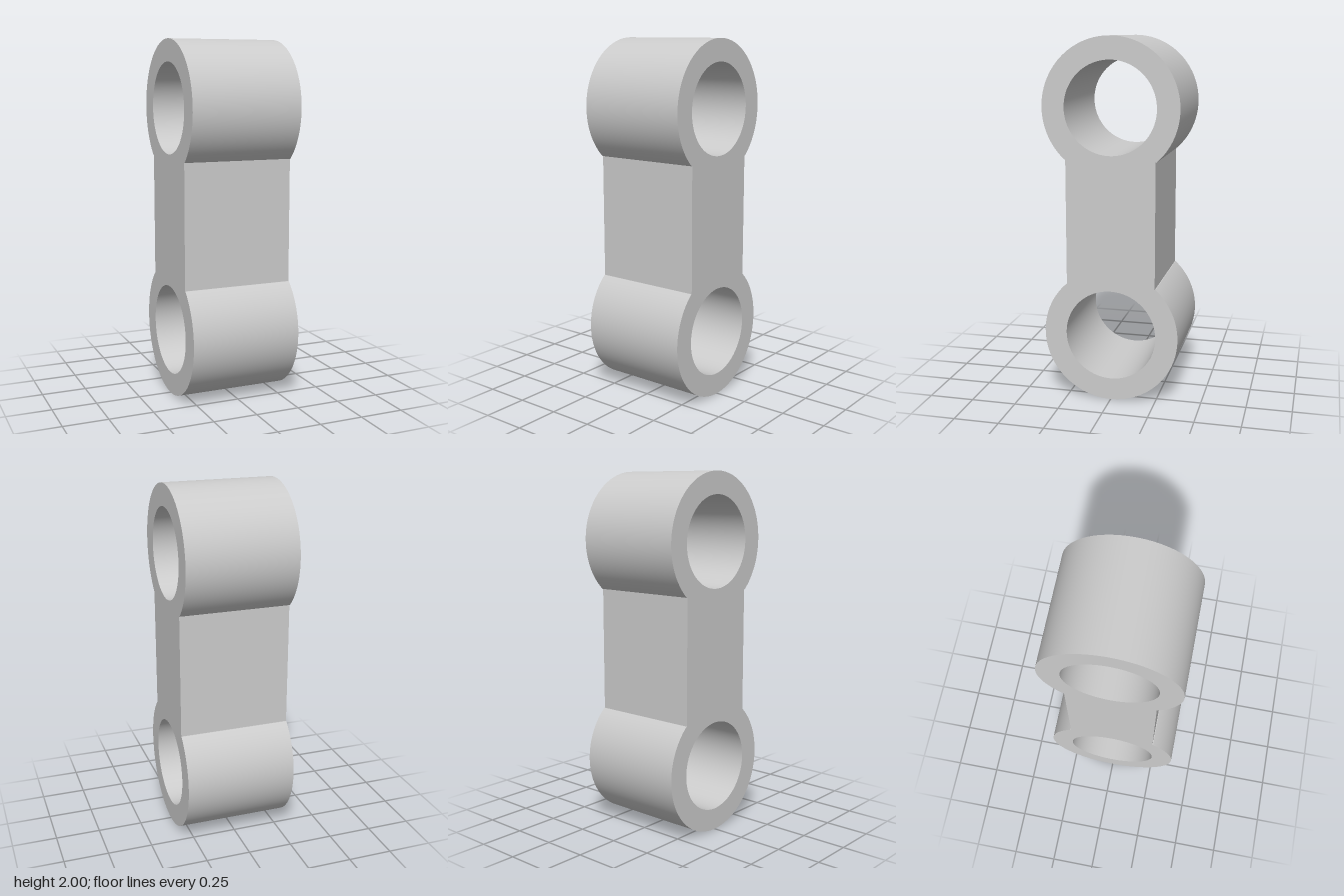
import * as THREE from 'three';
import { toCreasedNormals } from 'three/addons/utils/BufferGeometryUtils.js';

const WIDTH = 0.625;       // along x
const RING_R = 0.375;      // outer radius of each eye
const HOLE_R = 0.252;      // bore radius
const LOW = 0.375, HIGH = 1.625; // eye centres
const WEB = 0.247;         // half depth of the web
const DROP = 0.278;        // from eye centre to where the web meets the eye

export function createModel() {
  const group = new THREE.Group();
  group.name = 'link';

  // Outline: upper eye, web side, lower eye, web side
  const a = Math.asin(DROP / RING_R);
  const outline = new THREE.Shape();
  outline.absarc(0, HIGH, RING_R, -a, Math.PI + a, false);
  outline.lineTo(-WEB, HIGH - DROP);
  outline.lineTo(-WEB, LOW + DROP);
  outline.absarc(0, LOW, RING_R, Math.PI - a, Math.PI * 2 + a, false);
  outline.lineTo(WEB, LOW + DROP);
  outline.lineTo(WEB, HIGH - DROP);
  outline.closePath();

  // Bores through both eyes
  for (const y of [LOW, HIGH]) {
    const bore = new THREE.Path();
    bore.absarc(0, y, HOLE_R, 0, Math.PI * 2, true);
    outline.holes.push(bore);
  }

  // Extrude across the width and turn the bores along x
  const solid = new THREE.ExtrudeGeometry(outline, { depth: WIDTH, bevelEnabled: false, curveSegments: 48 });
  solid.translate(0, 0, -WIDTH / 2);
  solid.rotateY(Math.PI / 2);

  const link = new THREE.Mesh(
    toCreasedNormals(solid, 0.4),
    new THREE.MeshStandardMaterial({ color: 0xcccccc })
  );
  link.name = 'linkBody';
  group.add(link);
  return group;
}
